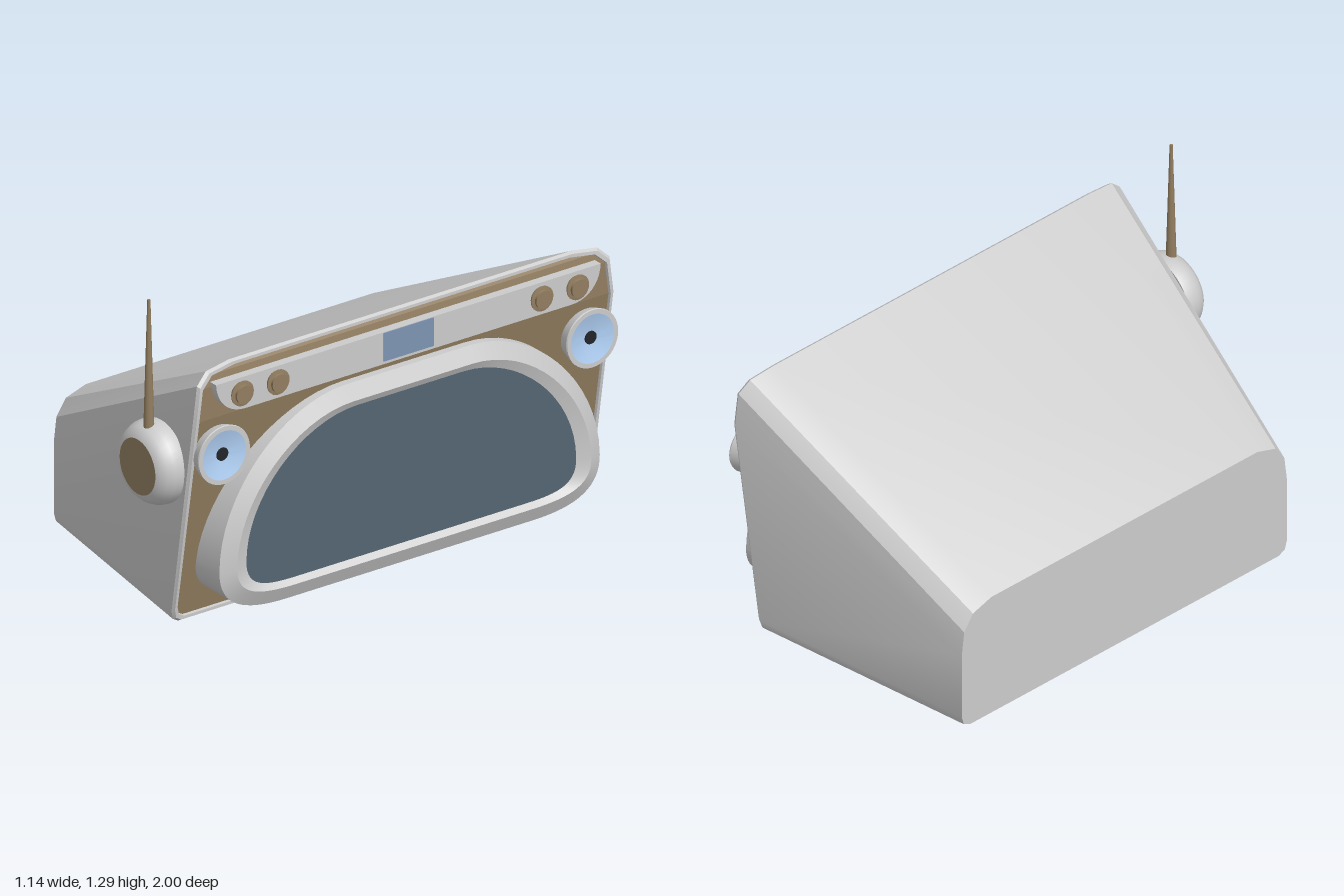
import * as THREE from 'three';
import { toCreasedNormals } from 'three/addons/utils/BufferGeometryUtils.js';

const MID = -0.045; // z of the symmetry plane of the housing
const paint = (color) => new THREE.MeshStandardMaterial({ color, side: THREE.DoubleSide });
const GREY = paint(0xcccccc), TAN = paint(0x927e60), GLASS = paint(0x546472);
const BLUE = paint(0xb0d0f5), SCREEN = paint(0x7d94b1), BLACK = paint(0x222428);

// x of the leaning front face at height y, upright above the fold
const faceX = (y) => (y < 0.87 ? 0.367 + (y / 0.87) * 0.141 : y < 1.03 ? 0.508 : 0.508 - (y - 1.03) * 0.5);

// Half profile [half width, y] from bottom to top -> closed symmetric loop
function ring(half, xAt) {
  const side = (s) => half.map(([h, y], i) => new THREE.Vector3(xAt(y, i), y, MID + s * h));
  return [...side(1), ...side(-1).reverse()];
}

function fromTriangles(points, crease = 0.6) {
  const g = new THREE.BufferGeometry().setFromPoints(points);
  return toCreasedNormals(g, crease);
}

// Skin between consecutive loops
function loft(rings) {
  const out = [];
  for (let k = 0; k < rings.length - 1; k++) {
    const a = rings[k], b = rings[k + 1], n = a.length;
    for (let i = 0; i < n; i++) {
      const j = (i + 1) % n;
      out.push(a[i], b[i], b[j], a[i], b[j], a[j]);
    }
  }
  return out;
}

// Fill a symmetric loop with strips across its width
function cap(loop, back = false) {
  const out = [], n = loop.length;
  for (let i = 0; i < n / 2 - 1; i++) {
    const p = loop[i], m = loop[n - 1 - i], q = loop[i + 1], r = loop[n - 2 - i];
    out.push(...(back ? [p, r, m, p, q, r] : [p, m, r, p, r, q]));
  }
  return out;
}

function lathe(profile, segments = 40) {
  const g = new THREE.LatheGeometry(profile.map(([r, h]) => new THREE.Vector2(r, h)), segments);
  return toCreasedNormals(g, 0.6);
}

// Half outline of the rounded window
function windowHalf(b, yb, w, ys, t, yt, yc) {
  const p = new THREE.Path();
  p.moveTo(b, yb);
  p.bezierCurveTo(b + (w - b) * 0.65, yb, w, yc, w, ys);
  p.bezierCurveTo(w, ys + (yt - ys) * 0.52, t + (w - t) * 0.5, yt, t, yt);
  return p.getPoints(16).map((v) => [v.x, v.y]);
}

export function createModel() {
  const model = new THREE.Group();
  const add = (name, geometry, material, parent = model) => {
    const mesh = new THREE.Mesh(geometry, material);
    mesh.name = name;
    parent.add(mesh);
    return mesh;
  };

  // Tapered housing with a raised rim around the front
  const backHalf = [[0.76, 0], [0.79, 0.015], [0.8, 0.05], [0.8, 0.335], [0.788, 0.435], [0.745, 0.5], [0.655, 0.53]];
  const frontHalf = [[0.92, 0], [0.945, 0.015], [0.955, 0.05], [0.955, 0.87], [0.938, 1.005], [0.89, 1.05], [0.78, 1.065]];
  const rim = (inset, depth) => ring(
    frontHalf.map(([h, y]) => [h - inset, inset + y * (1 - (2 * inset) / 1.065)]),
    (y, i) => faceX(frontHalf[i][1]) - depth);
  const backRing = ring(backHalf, () => -0.57);
  const panelRing = rim(0.021, 0.012);
  add('housing', fromTriangles([
    ...cap(backRing, true),
    ...loft([backRing, rim(0, 0.012), rim(0.007, 0), rim(0.019, 0), panelRing]),
  ], 0.35), GREY);
  add('frontPanel', fromTriangles(cap(panelRing), 0.1), TAN);

  // Window surround with a bevelled outer edge and inset pane
  const outer = windowHalf(0.56, 0.06, 0.865, 0.24, 0.28, 0.84, 0.11);
  const crest = windowHalf(0.54, 0.122, 0.805, 0.25, 0.27, 0.78, 0.15);
  const pane = windowHalf(0.53, 0.142, 0.75, 0.26, 0.24, 0.752, 0.16);
  const paneRing = ring(pane, (y) => 0.55 - 0.012 * y);
  add('windowSurround', fromTriangles(loft([
    ring(outer, (y) => faceX(y) - 0.03),
    ring(outer, (y) => 0.541 - 0.02 * y),
    ring(crest, (y) => 0.57 - 0.018 * y),
    paneRing,
  ])), GREY);
  add('windowPane', fromTriangles(cap(paneRing)), GLASS);

  // Control strip along the top
  const strip = new THREE.Shape();
  strip.moveTo(-0.875, 1.005);
  strip.lineTo(0.875, 1.005);
  strip.bezierCurveTo(0.87, 0.93, 0.82, 0.876, 0.74, 0.876);
  strip.lineTo(-0.74, 0.876);
  strip.bezierCurveTo(-0.82, 0.876, -0.87, 0.93, -0.875, 1.005);
  const stripGeometry = new THREE.ExtrudeGeometry(strip, { depth: 0.04, bevelEnabled: false, curveSegments: 10 });
  stripGeometry.rotateY(Math.PI / 2);
  add('controlStrip', stripGeometry, GREY).position.set(0.489, 0, MID);
  add('display', new THREE.BoxGeometry(0.01, 0.115, 0.228), SCREEN).position.set(0.527, 0.945, MID);

  // Knobs and round lamps, mirrored on both sides
  for (const side of [1, -1]) {
    for (const offset of [0.7625, 0.6]) {
      const knob = add('knob', lathe([[0, 0], [0.042, 0], [0.05, 0.012], [0.05, 0.016], [0.036, 0.018],
        [0.036, 0.028], [0, 0.028]], 24), TAN);
      knob.rotation.z = -Math.PI / 2;
      knob.position.set(0.526, 0.945, MID + side * offset);
    }
    const lamp = new THREE.Group();
    lamp.name = 'lamp';
    lamp.rotation.z = -Math.PI / 2;
    lamp.position.set(0.465, 0.712, MID + side * 0.8375);
    add('lampShell', lathe([[0, 0], [0.1, 0], [0.118, 0.06], [0.116, 0.065], [0.098, 0.065]]), GREY, lamp);
    add('lampDish', lathe([[0.098, 0.065], [0.06, 0.055], [0.026, 0.05]]), BLUE, lamp);
    add('lampCentre', lathe([[0.026, 0.05], [0.026, 0.054], [0, 0.054]], 20), BLACK, lamp);
    model.add(lamp);
  }

  // Side pod carrying the antenna
  const pod = new THREE.Group();
  pod.name = 'antennaPod';
  pod.rotation.x = Math.PI / 2;
  pod.position.set(0.276, 0.628, 0);
  add('podDome', lathe([[0, 0.893], [0.16, 0.893], [0.164, 0.915], [0.16, 0.945], [0.148, 0.972],
    [0.13, 0.992], [0.11, 1]]), GREY, pod);
  add('podCap', lathe([[0.11, 1], [0, 1]]), TAN, pod);
  model.add(pod);
  add('antenna', new THREE.CylinderGeometry(0.006, 0.021, 0.54, 12), TAN).position.set(0.278, 1.02, 0.95);

  return model;
}
